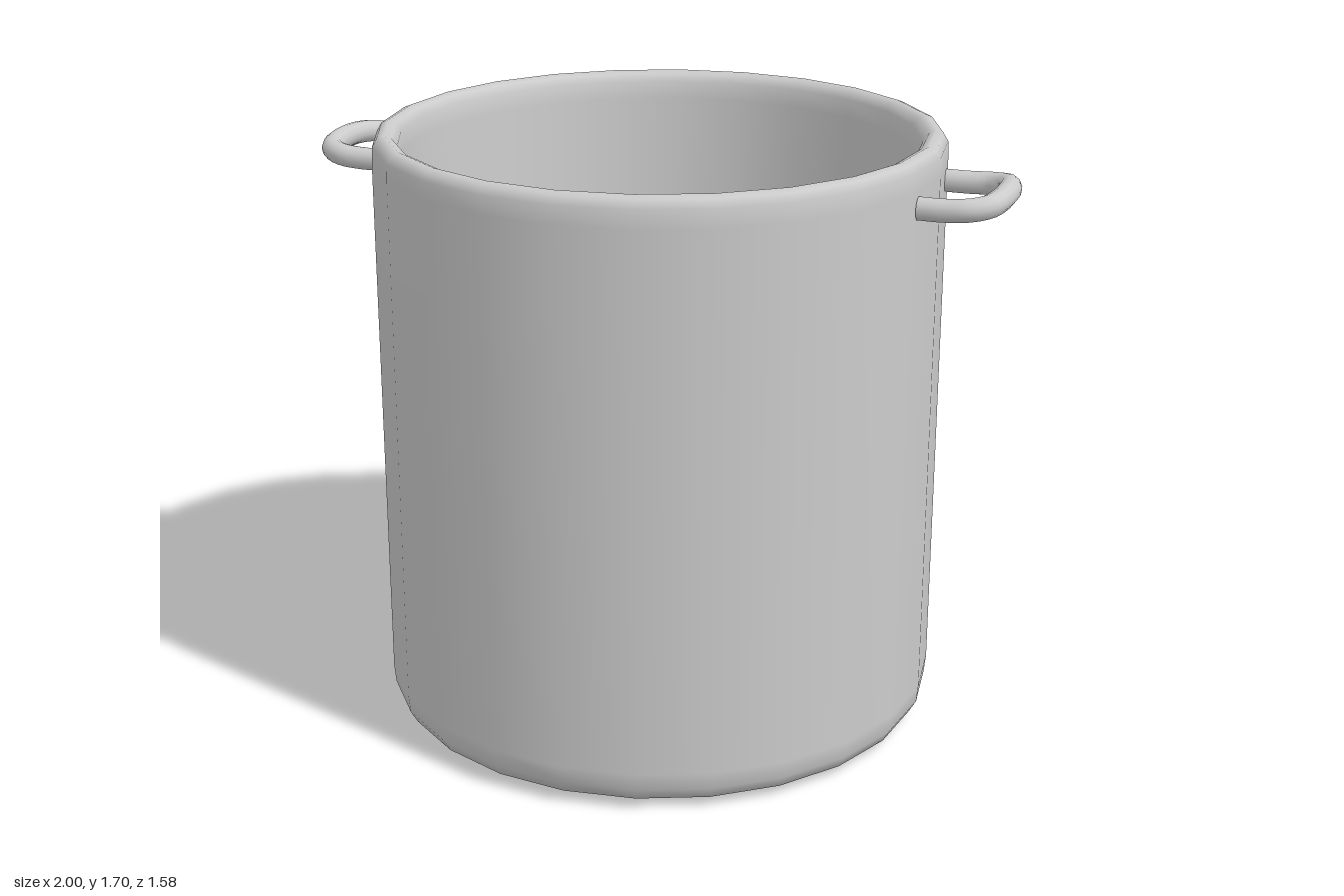
import * as THREE from 'three';

const SIDES = 24;
const FLOOR_Y = 0.08;
const FLOOR_R = 0.65;
const v2 = (list) => list.map(([x, y]) => new THREE.Vector2(x, y));

export function createModel() {
  const group = new THREE.Group();
  const material = new THREE.MeshStandardMaterial({ color: 0xcccccc, side: THREE.DoubleSide });

  const add = (geometry, name) => {
    const mesh = new THREE.Mesh(geometry, material);
    mesh.name = name;
    group.add(mesh);
    return mesh;
  };

  // Pot shell: slightly domed underside, rounded edges, rim, tapering inner wall
  const shell = new THREE.LatheGeometry(v2([
    [0, 0.005], [0.3, 0.01], [0.68, 0.018], [0.765, 0.035], [0.785, 0.07], [0.79, 0.12],
    [0.79, 1.62], [0.788, 1.67], [0.775, 1.692], [0.755, 1.7], [0.735, 1.692],
    [0.72, 1.67], [0.715, 1.62], [FLOOR_R, FLOOR_Y],
  ]), SIDES);

  // The inner wall ends on a twelve-sided floor, so every other foot point moves in
  const pos = shell.attributes.position;
  const rows = pos.count / (SIDES + 1);
  const shrink = Math.cos(Math.PI / 12);
  for (let i = 0; i <= SIDES; i += 2) {
    const k = i * rows + rows - 1;
    pos.setXYZ(k, pos.getX(k) * shrink, pos.getY(k), pos.getZ(k) * shrink);
  }
  add(shell, 'potShell');

  // Inner floor
  const floor = new THREE.CircleGeometry(FLOOR_R, 12, Math.PI / 12);
  floor.rotateX(-Math.PI / 2);
  floor.translate(0, FLOOR_Y, 0);
  add(floor, 'potFloor');

  // Side handles: bent rods that rise a little toward the outside
  const tubeR = 0.032;
  const half = [[0.77, 1.573, 0.157], [0.84, 1.573, 0.157], [0.9, 1.577, 0.151], [0.945, 1.583, 0.122], [0.963, 1.588, 0.07]];
  const points = [
    ...half,
    [0.968, 1.59, 0],
    ...half.slice().reverse().map(([x, y, z]) => [x, y, -z]),
  ].map((p) => new THREE.Vector3(...p));
  const curve = new THREE.CatmullRomCurve3(points);
  const rod = new THREE.TubeGeometry(curve, 32, tubeR, 12);

  for (const [name, angle] of [['leftHandle', 0], ['rightHandle', Math.PI]]) {
    const handle = new THREE.Group();
    handle.name = name;
    const bar = new THREE.Mesh(rod, material);
    bar.name = name + 'Bar';
    handle.add(bar);
    // Closed rod ends
    for (const s of [1, -1]) {
      const cap = new THREE.Mesh(new THREE.CircleGeometry(tubeR, 12), material);
      cap.name = name + 'End';
      cap.position.set(0.77, 1.573, 0.157 * s);
      cap.rotation.y = -Math.PI / 2;
      handle.add(cap);
    }
    handle.rotation.y = angle;
    group.add(handle);
  }

  return group;
}
